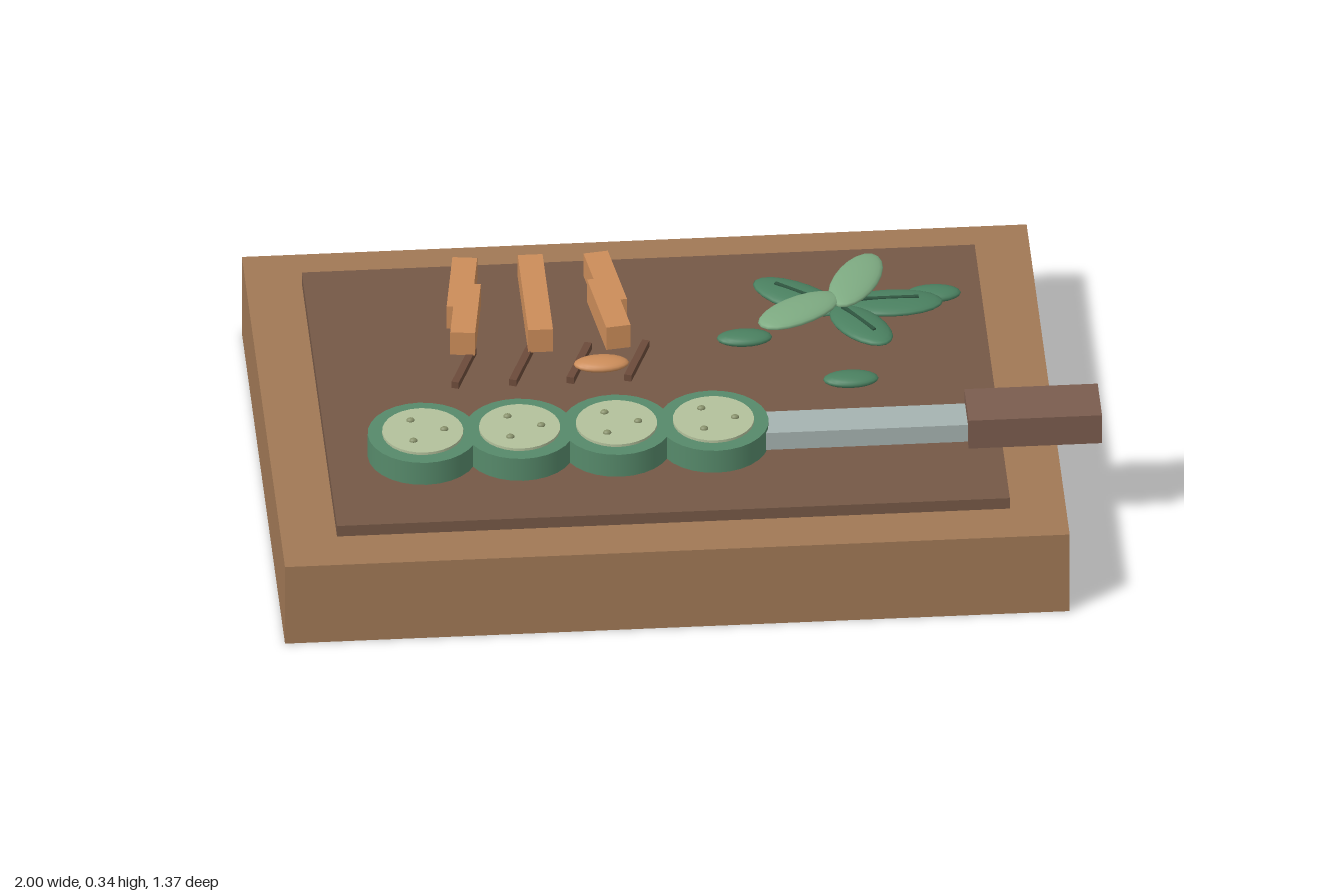
import * as THREE from 'three';

const COLORS = {
  wood: 0xa07855, darkWood: 0x755846, handle: 0x7a5c4e, rind: 0x56896a, flesh: 0xb2c09b,
  seed: 0x87906a, steel: 0xa5b2b0, carrot: 0xcb8c59, twig: 0x6b4a3a,
  leaf: 0x4a8060, paleLeaf: 0x7fac83, rib: 0x2f5540,
};
const mats = {};
for (const key in COLORS) mats[key] = new THREE.MeshStandardMaterial({ color: COLORS[key] });

export function createModel() {
  const root = new THREE.Group();

  function add(name, geometry, mat, x, y, z, turn = 0, parent = root) {
    const mesh = new THREE.Mesh(geometry, mats[mat]);
    mesh.name = name;
    mesh.position.set(x, y, z);
    mesh.rotation.y = turn;
    parent.add(mesh);
    return mesh;
  }
  const box = (w, h, d) => new THREE.BoxGeometry(w, h, d);
  const ellipsoid = (rx, ry, rz) => new THREE.SphereGeometry(1, 20, 12).scale(rx, ry, rz);

  // Board with a raised dark panel
  add('board', box(1.895, 0.22, 1.37), 'wood', -0.0525, 0.11, 0);
  add('boardPanel', box(1.625, 0.03, 1.12), 'darkWood', -0.0525, 0.235, 0);

  // Row of round slices: rind, flesh disc and three seeds each
  for (let i = 0; i < 4; i++) {
    const slice = new THREE.Group();
    slice.name = 'slice';
    slice.position.set(-0.637 + i * 0.234, 0, 0.285);
    root.add(slice);
    add('rind', new THREE.CylinderGeometry(0.133, 0.133, 0.063, 28), 'rind', 0, 0.2965, 0, 0, slice);
    add('flesh', new THREE.CylinderGeometry(0.098, 0.098, 0.02, 28), 'flesh', 0, 0.325, 0, 0, slice);
    for (let k = 0; k < 3; k++) {
      const a = k * Math.PI * 2 / 3;
      add('seed', ellipsoid(0.01, 0.007, 0.008), 'seed',
        0.052 * Math.cos(a), 0.336, 0.052 * Math.sin(a), 0, slice);
    }
  }

  // Knife
  add('knifeBlade', box(0.52, 0.048, 0.095), 'steel', 0.42, 0.294, 0.287);
  add('knifeHandle', box(0.322, 0.08, 0.14), 'handle', 0.837, 0.305, 0.288);

  // Cut sticks, each of two overlapping lengths, fanned outwards
  for (let i = -1; i <= 1; i++) {
    for (const z of [-0.365, -0.25]) {
      add('carrotStick', box(0.06, 0.064, 0.217), 'carrot', -0.32 + i * 0.173, 0.299, z, i * 0.14);
    }
  }

  // Thin twigs
  for (let i = 0; i < 4; i++) {
    add('twig', box(0.018, 0.018, 0.16), 'twig', -0.508 + i * 0.139, 0.26, -0.097, -0.35);
  }

  // Small loose pieces
  add('carrotChip', ellipsoid(0.067, 0.016, 0.033), 'carrot', -0.18, 0.285, -0.053);
  for (const [x, z] of [[0.172, -0.14], [0.414, 0.06], [0.64, -0.3]]) {
    add('looseLeaf', ellipsoid(0.067, 0.016, 0.033), 'leaf', x, 0.285, z);
  }

  // Sprig: leaves given by their end points (x, z), centre height and tilt
  const leaves = [
    [0.41, -0.225, 0.215, -0.38, 0.29, 0, 'leaf'],
    [0.415, -0.25, 0.66, -0.25, 0.295, 0, 'leaf'],
    [0.4, -0.245, 0.51, -0.055, 0.3, 0.05, 'leaf'],
    [0.405, -0.21, 0.505, -0.45, 0.312, -0.04, 'paleLeaf'],
    [0.405, -0.265, 0.21, -0.12, 0.322, 0.04, 'paleLeaf'],
  ];
  const sprig = new THREE.Group();
  sprig.name = 'sprig';
  root.add(sprig);
  for (const [x0, z0, x1, z1, y, tilt, mat] of leaves) {
    const dx = x1 - x0, dz = z1 - z0, length = Math.hypot(dx, dz);
    const leaf = add('sprigLeaf', ellipsoid(length / 2, 0.016, 0.055), mat,
      (x0 + x1) / 2, y, (z0 + z1) / 2, Math.atan2(-dz, dx), sprig);
    leaf.rotation.z = tilt;
    // Midrib showing along the darker leaves
    if (mat === 'leaf') add('midrib', box(length * 0.62, 0.008, 0.009), 'rib', -length * 0.05, 0.014, 0, 0, leaf);
  }

  return root;
}
